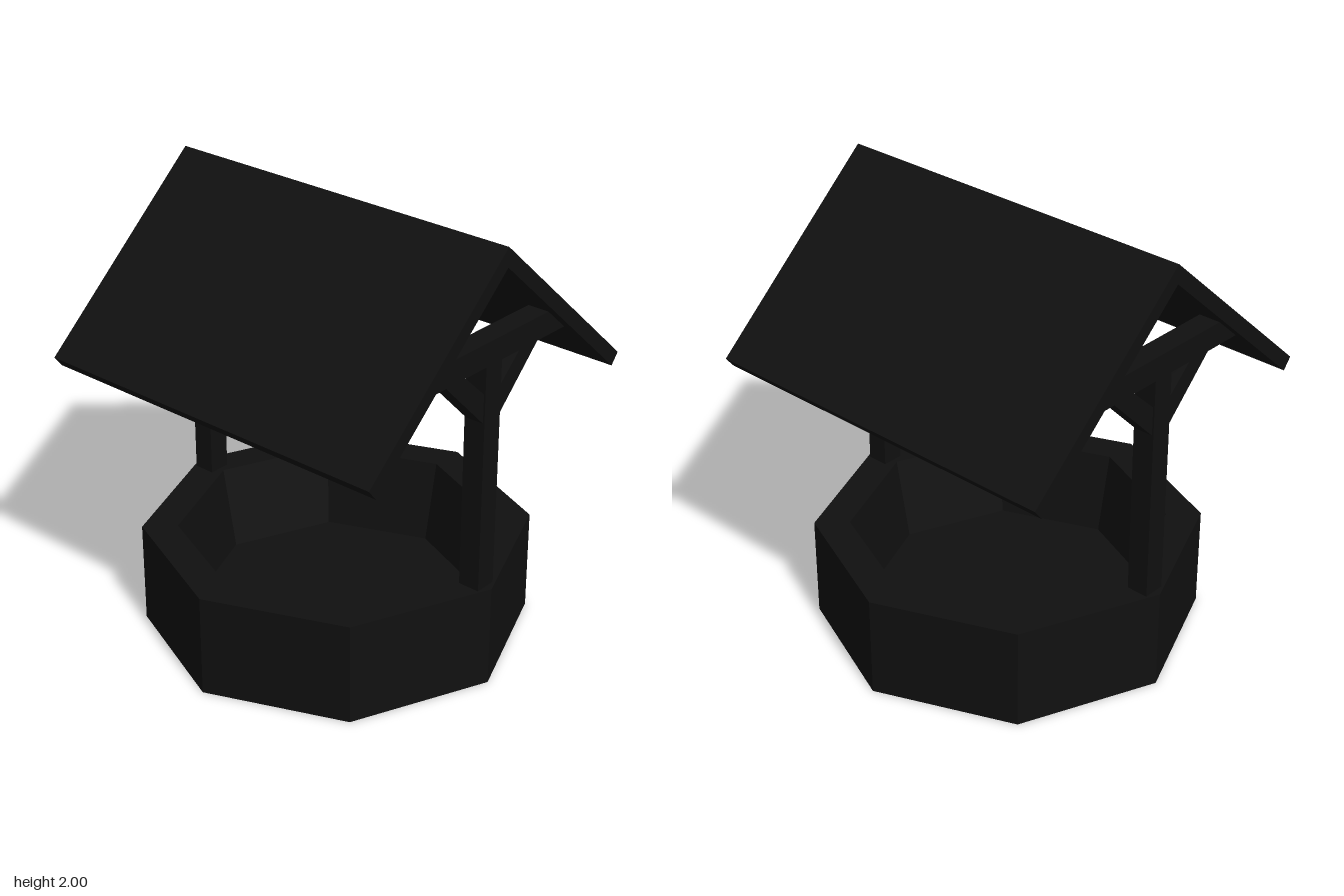
import * as THREE from 'three';

const material = new THREE.MeshStandardMaterial({ color: 0x101010, flatShading: true });

// Extrudes a (z, y) outline along x, centred on the given x
function slab(name, outline, width, x = 0) {
  const shape = new THREE.Shape(outline.map(([z, y]) => new THREE.Vector2(z, y)));
  const geometry = new THREE.ExtrudeGeometry(shape, { depth: width, bevelEnabled: false });
  geometry.translate(0, 0, -width / 2).rotateY(-Math.PI / 2);
  const mesh = new THREE.Mesh(geometry, material);
  mesh.name = name;
  mesh.position.x = x;
  return mesh;
}

export function createModel() {
  const model = new THREE.Group();
  model.name = 'well';

  // Octagonal basin: recessed underside, outer wall, rim, tapered inner wall, floor
  const profile = [[0, 0.09], [0.63, 0.09], [0.857, 0], [0.857, 0.465], [0.7, 0.465], [0.63, 0.093], [0, 0.093]];
  const basin = new THREE.Mesh(
    new THREE.LatheGeometry(profile.map(([r, y]) => new THREE.Vector2(r, y)), 8), material);
  basin.name = 'basin';
  model.add(basin);

  // Gabled roof
  model.add(slab('roof', [[0, 2], [-0.81, 1.275], [-0.77, 1.225], [0, 1.915], [0.77, 1.225], [0.81, 1.275]], 1.746));

  // Post, cross beam and diagonal braces at each end
  for (const side of [-1, 1]) {
    const frame = new THREE.Group();
    frame.name = side > 0 ? 'leftFrame' : 'rightFrame';
    frame.position.x = side * 0.775;
    frame.add(slab('post', [[-0.05, 0.45], [0.05, 0.45], [0.05, 1.5], [-0.05, 1.5]], 0.1));
    frame.add(slab('crossBeam', [[-0.49, 1.495], [0.49, 1.495], [0.38, 1.6], [-0.38, 1.6]], 0.1));
    for (const s of [-1, 1]) {
      frame.add(slab('brace', [[0.04, 1.235], [0.31, 1.505], [0.19, 1.505], [0.04, 1.365]].map(([z, y]) => [s * z, y]), 0.085));
    }
    model.add(frame);
  }
  return model;
}
